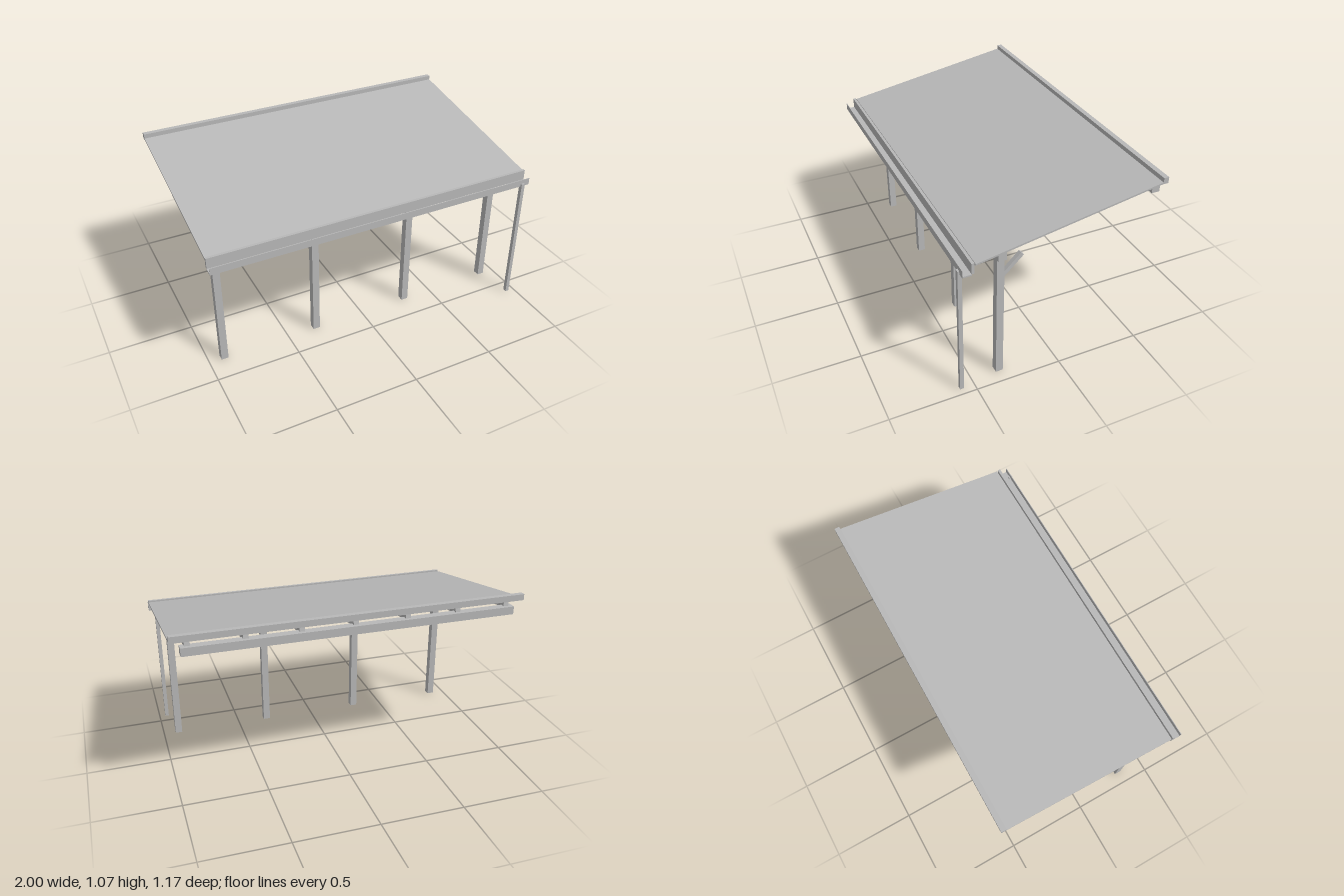
import * as THREE from 'three';

const material = new THREE.MeshStandardMaterial({ color: 0xb8b8b8 });
material.name = 'plain grey';

export function createModel() {
  const model = new THREE.Group();
  model.name = 'leanToCanopy';

  // Box given by its min/max extents on each axis
  function box(name, [x0, x1], [y0, y1], [z0, z1]) {
    const mesh = new THREE.Mesh(new THREE.BoxGeometry(x1 - x0, y1 - y0, z1 - z0), material);
    mesh.position.set((x0 + x1) / 2, (y0 + y1) / 2, (z0 + z1) / 2);
    mesh.name = name;
    model.add(mesh);
  }

  // Side profile of [z, y] points, extruded along x and centred on the given x
  function profile(name, points, x, width) {
    const shape = new THREE.Shape(points.map(([z, y]) => new THREE.Vector2(-z, y)));
    const geometry = new THREE.ExtrudeGeometry(shape, { depth: width, bevelEnabled: false });
    geometry.translate(0, 0, -width / 2).rotateY(Math.PI / 2);
    const mesh = new THREE.Mesh(geometry, material);
    mesh.position.x = x;
    mesh.name = name;
    model.add(mesh);
  }

  // Sloping roof sheet and the strip along its high edge
  profile('roofSheet', [[0.505, 0.844], [-0.558, 1.031], [-0.56, 1.041], [0.504, 0.854]], 0, 2);
  box('ridgeStrip', [-1, 1], [1.03, 1.066], [-0.585, -0.555]);

  // Rafters under the sheet
  for (let i = 0; i < 7; i++) {
    profile('rafter', [[0.437, 0.816], [-0.56, 0.991], [-0.553, 1.03], [0.444, 0.854]],
      -0.906 + i * 0.302, 0.03);
  }

  // Horizontal beams
  box('wallBeam', [-0.945, 0.945], [0.949, 0.996], [-0.58, -0.532]);
  box('frontBeam', [-0.945, 0.945], [0.779, 0.837], [0.31, 0.357]);

  // Posts with diagonal braces
  for (const x of [-0.907, -0.315, 0.31, 0.905]) {
    box('post', [x - 0.021, x + 0.021], [0, 0.779], [0.313, 0.355]);
    profile('brace', [[0.313, 0.65], [0.2, 0.76], [0.217, 0.776], [0.313, 0.681]], x, 0.025);
  }

  // Gutter: back board, floor and thin front lip, with its downpipe
  box('gutterBoard', [-1, 1], [0.799, 0.861], [0.51, 0.526]);
  box('gutterFloor', [-1, 1], [0.79, 0.798], [0.525, 0.574]);
  box('gutterLip', [-1, 1], [0.79, 0.832], [0.571, 0.575]);
  box('downpipe', [0.94, 0.963], [0, 0.807], [0.562, 0.585]);

  return model;
}
